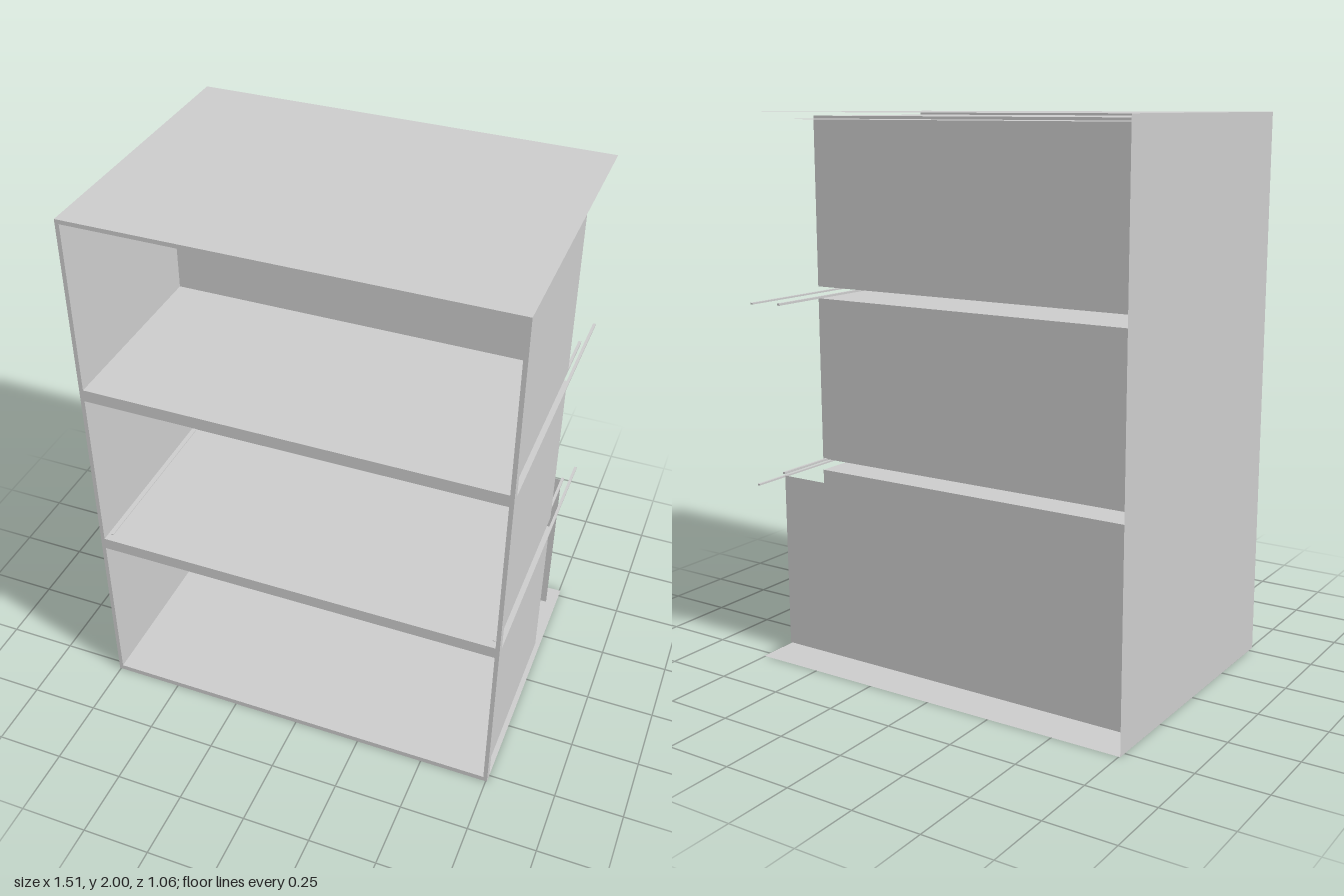
import * as THREE from 'three';

const W = 1.51, H = 2, FRONT = 0.53, BACK = -0.53;      // cabinet shell
const IN_X = 0.74, BOX_FRONT = 0.5, BOX_BACK = -0.18;   // compartments
const LINER_X = 0.72, LINER_BACK = -0.42;               // inner liner
const ROWS = [[0.02, 0.645], [0.69, 1.312], [1.357, 1.985]];

export function createModel() {
  const group = new THREE.Group();
  const material = new THREE.MeshStandardMaterial({ color: 0xcccccc, side: THREE.DoubleSide });

  const add = (name, geometry, parent = group) => {
    const mesh = new THREE.Mesh(geometry, material);
    mesh.name = name;
    parent.add(mesh);
    return mesh;
  };

  // Thin sheets lying across each axis
  const sheetX = (name, x, y0, y1, z0, z1, parent) => {
    const g = new THREE.PlaneGeometry(z1 - z0, y1 - y0).rotateY(Math.sign(x) * Math.PI / 2);
    return add(name, g.translate(x, (y0 + y1) / 2, (z0 + z1) / 2), parent);
  };
  const sheetY = (name, y, x0, x1, z0, z1, up, parent) => {
    const g = new THREE.PlaneGeometry(x1 - x0, z1 - z0).rotateX(up ? -Math.PI / 2 : Math.PI / 2);
    return add(name, g.translate((x0 + x1) / 2, y, (z0 + z1) / 2), parent);
  };
  const sheetZ = (name, z, x0, x1, y0, y1, parent) => {
    const g = new THREE.PlaneGeometry(x1 - x0, y1 - y0).rotateY(Math.PI);
    return add(name, g.translate((x0 + x1) / 2, (y0 + y1) / 2, z), parent);
  };
  const bar = (name, x0, x1, y0, y1, z0, z1) =>
    add(name, new THREE.BoxGeometry(x1 - x0, y1 - y0, z1 - z0)
      .translate((x0 + x1) / 2, (y0 + y1) / 2, (z0 + z1) / 2));

  // Outer shell: top, bottom and one closed side
  sheetY('topPanel', H, -W / 2, W / 2, BACK, FRONT, true);
  sheetY('bottomPanel', 0, -W / 2, W / 2, BACK, FRONT, false);
  sheetX('rightSidePanel', -W / 2, 0, H, BACK, FRONT);

  // Front frame with three openings
  const rectangle = (path, x0, y0, x1, y1) =>
    path.moveTo(x0, y0).lineTo(x1, y0).lineTo(x1, y1).lineTo(x0, y1).closePath();
  const outline = new THREE.Shape();
  rectangle(outline, -W / 2, 0, W / 2, H);
  for (const [y0, y1] of ROWS) {
    const hole = new THREE.Path();
    rectangle(hole, -IN_X, y0, IN_X, y1);
    outline.holes.push(hole);
  }
  add('frontFrame', new THREE.ExtrudeGeometry(outline, { depth: FRONT - BOX_FRONT, bevelEnabled: false })
    .translate(0, 0, BOX_FRONT));

  // Open-fronted compartments
  ROWS.forEach(([y0, y1], i) => {
    const box = new THREE.Group();
    box.name = `compartment${i + 1}`;
    group.add(box);
    sheetY('compartmentFloor', y0, -IN_X, IN_X, BOX_BACK, BOX_FRONT, false, box);
    sheetY('compartmentCeiling', y1, -IN_X, IN_X, BOX_BACK, BOX_FRONT, true, box);
    sheetZ('compartmentBack', BOX_BACK, -IN_X, IN_X, y0, y1, box);
    for (const s of [-1, 1]) sheetX('compartmentSide', s * IN_X, y0, y1, BOX_BACK, BOX_FRONT, box);
  });

  // Inner liner: ceiling sheet and lower back panel
  sheetY('linerCeiling', 1.975, -LINER_X, LINER_X, LINER_BACK, BOX_FRONT, false);
  sheetZ('lowerBackPanel', LINER_BACK, -LINER_X, LINER_X, 0.025, 0.68);

  // Long rails along the open side
  for (const y of [0.667, 1.333]) {
    bar('longRail', W / 2 - 0.01, W / 2, y - 0.003, y + 0.003, BACK, BOX_FRONT);
  }
  // Short rails on both sides of the middle compartment
  for (const y of [0.689, 1.318]) {
    for (const s of [-1, 1]) {
      const a = s * LINER_X, b = s * (LINER_X + 0.01);
      bar('shortRail', Math.min(a, b), Math.max(a, b), y - 0.004, y + 0.004, LINER_BACK, BOX_FRONT);
    }
  }
  return group;
}
